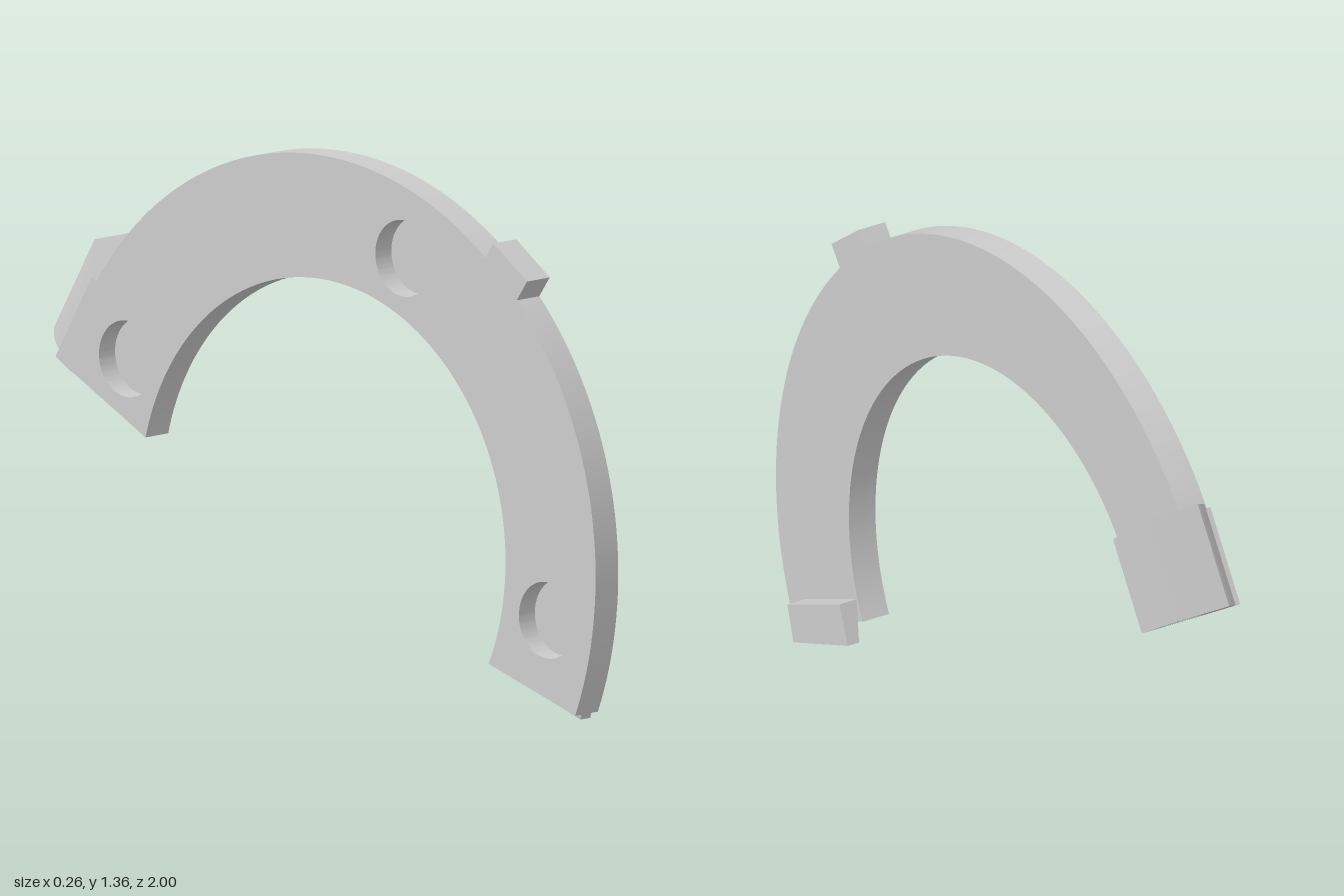
import * as THREE from 'three';
import { toCreasedNormals } from 'three/addons/utils/BufferGeometryUtils.js';

const grey = new THREE.MeshStandardMaterial({ color: 0xcccccc });
grey.name = 'light grey';

const X0 = -0.135, X1 = -0.053, FLOOR = -0.077; // plate back, plate face, recess floor
const CA = -0.04, CY = 0.397, R_OUT = 0.96, R_IN = 0.643;
const rad = (d) => d * Math.PI / 180;

function addMesh(group, name, geometry) {
  const mesh = new THREE.Mesh(toCreasedNormals(geometry, rad(30)), grey);
  mesh.name = name;
  group.add(mesh);
  return mesh;
}

function extrude(shape, depth) {
  return new THREE.ExtrudeGeometry(shape, { depth, bevelEnabled: false, curveSegments: 48 });
}

// Side outline drawn in (-z, y), extruded from x = from to x = to
function sideExtrude(shape, from, to) {
  return extrude(shape, to - from).rotateY(Math.PI / 2).translate(from, 0, 0);
}

const polygon = (pts) => new THREE.Shape(pts.map(([a, b]) => new THREE.Vector2(a, b)));

function circleHole(x, y, r) {
  const path = new THREE.Path();
  path.absarc(x, y, r, 0, Math.PI * 2, true);
  return path;
}

function arcOutline() {
  const s = new THREE.Shape();
  s.absarc(CA, CY, R_OUT, rad(18.7), rad(202.3), false);
  s.absarc(CA, CY, R_IN, rad(204.8), rad(14.2), true);
  s.closePath();
  return s;
}

export function createModel() {
  const model = new THREE.Group();
  model.name = 'curvedBracket';

  // Curved plate: solid face layer over a back layer with three round recesses
  addMesh(model, 'plateFace', sideExtrude(arcOutline(), FLOOR, X1));
  const back = arcOutline();
  for (const [a, y] of [[-0.323, 1.129], [-0.828, 0.265], [0.649, 0.748]]) {
    back.holes.push(circleHole(a, y, 0.098));
  }
  addMesh(model, 'plateBack', sideExtrude(back, X0, FLOOR));

  // Small locating tab on the outer rim
  addMesh(model, 'rimTab', sideExtrude(
    polygon([[-0.7, 1.04], [-0.59, 1.135], [-0.641, 1.208], [-0.759, 1.125]]), X0, X1));

  // Lip at the lower end, its underside tapering away from the plate
  const lip = sideExtrude(
    polygon([[-0.85, 0], [-0.614, 0.078], [-0.65, 0.18], [-0.876, 0.096]]), X1, 0);
  const p = lip.attributes.position;
  for (let i = 0; i < p.count; i++) {
    const lower = (p.getZ(i) < 0.63) || (p.getY(i) < 0.05);
    if (lower && p.getX(i) < -0.03) p.setX(i, -0.035);
  }
  lip.computeVertexNormals();
  addMesh(model, 'endLip', lip);

  // Clamp block: profile in (x, distance outward), extruded along the bolt axis
  const blockProfile = () => {
    const s = new THREE.Shape();
    s.moveTo(X0, 0);
    s.lineTo(0.13, 0);
    s.lineTo(0.13, 0.18);
    s.lineTo(-0.03, 0.18);
    s.quadraticCurveTo(-0.085, 0.145, -0.11, 0.064);
    s.lineTo(X0, 0.064);
    s.closePath();
    return s;
  };
  const block = new THREE.Group();
  block.name = 'clampBlock';
  const boltX = 0.055, boltW = 0.085, NUT = 0.06, LENGTH = 0.248;

  // Lower layer with hexagonal nut pocket
  const lower = blockProfile();
  const hex = [];
  for (let i = 0; i < 6; i++) {
    const t = -i * Math.PI / 3;
    hex.push(new THREE.Vector2(boltX + 0.056 * Math.cos(t), boltW + 0.056 * Math.sin(t)));
  }
  lower.holes.push(new THREE.Path(hex));
  addMesh(block, 'nutPocketLayer', extrude(lower, NUT));

  // Upper layer with bolt hole and slightly sloped top
  const upper = blockProfile();
  upper.holes.push(circleHole(boltX, boltW, 0.032));
  const upperGeo = extrude(upper, LENGTH - NUT).translate(0, 0, NUT);
  const q = upperGeo.attributes.position;
  for (let i = 0; i < q.count; i++) {
    if (q.getZ(i) > LENGTH - 0.01) q.setZ(i, LENGTH + q.getY(i) * 0.12);
  }
  upperGeo.computeVertexNormals();
  addMesh(block, 'boltHoleLayer', upperGeo);

  const outward = new THREE.Vector3(0, 0.504, -0.863).normalize();
  const side = new THREE.Vector3(1, 0, 0);
  const axis = new THREE.Vector3().crossVectors(side, outward);
  block.quaternion.setFromRotationMatrix(new THREE.Matrix4().makeBasis(side, outward, axis));
  block.position.set(0, 0.69, -0.845);
  model.add(block);

  return model;
}
